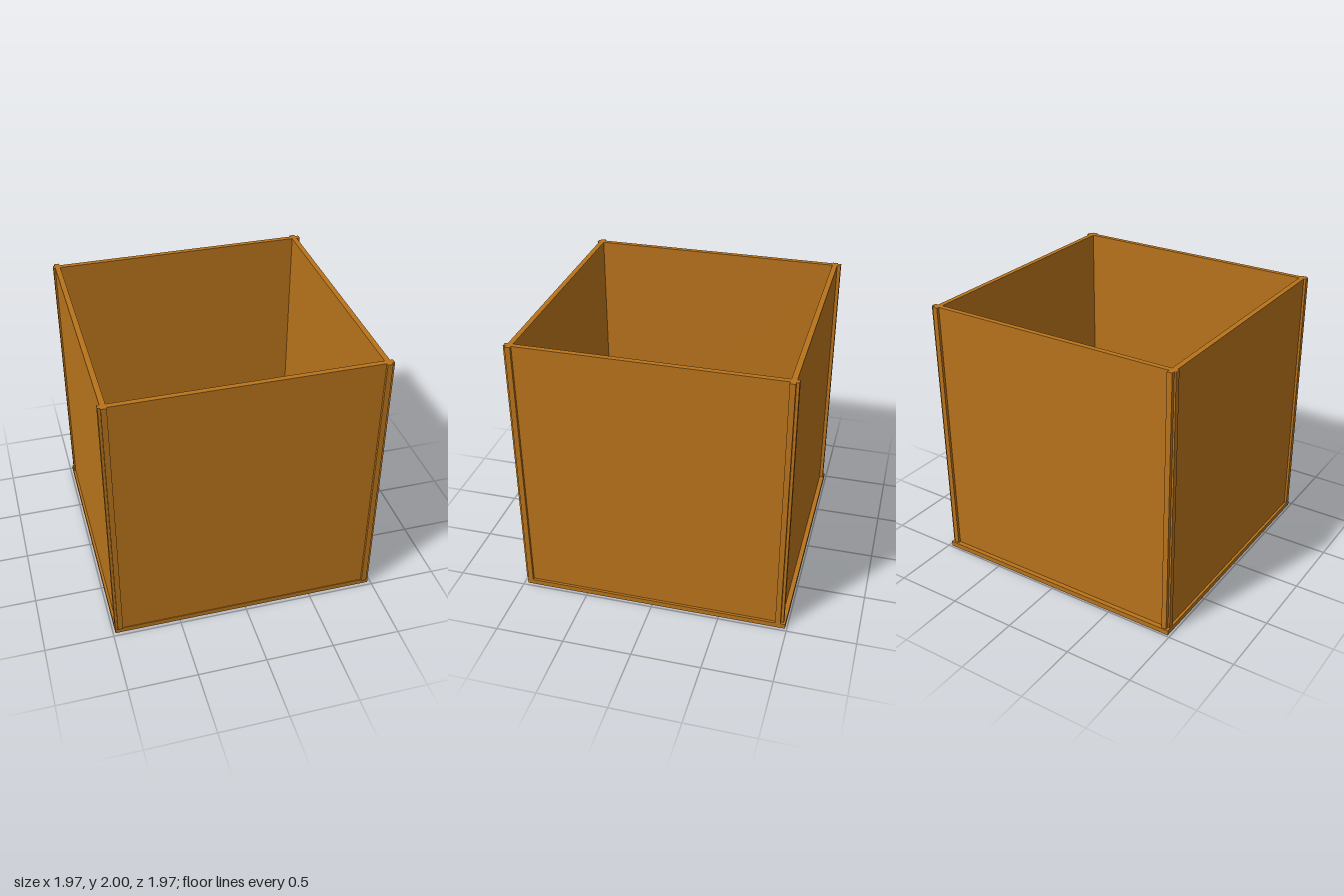
import * as THREE from 'three';

const SIZE = 1.96; // every panel is a square board
const THICK = 0.038;

export function createModel() {
  const box = new THREE.Group();
  box.name = 'openBox';
  const wood = new THREE.MeshStandardMaterial({ color: 0xb8731b });

  const addPanel = (name, size, position) => {
    const panel = new THREE.Mesh(new THREE.BoxGeometry(...size), wood);
    panel.name = name;
    panel.position.set(...position);
    box.add(panel);
  };

  // Floor board
  addPanel('base', [SIZE, THICK, SIZE], [-0.003, THICK / 2, -0.007]);

  // Four walls standing on the floor, their ends crossing at the corners
  const wallY = THICK + SIZE / 2;
  addPanel('frontWall', [SIZE, SIZE, THICK], [-0.002, wallY, 0.949]);
  addPanel('backWall', [SIZE, SIZE, THICK], [0.003, wallY, -0.934]);
  addPanel('leftWall', [THICK, SIZE, SIZE], [0.939, wallY, 0.007]);
  addPanel('rightWall', [THICK, SIZE, SIZE], [-0.945, wallY, 0.001]);

  return box;
}
